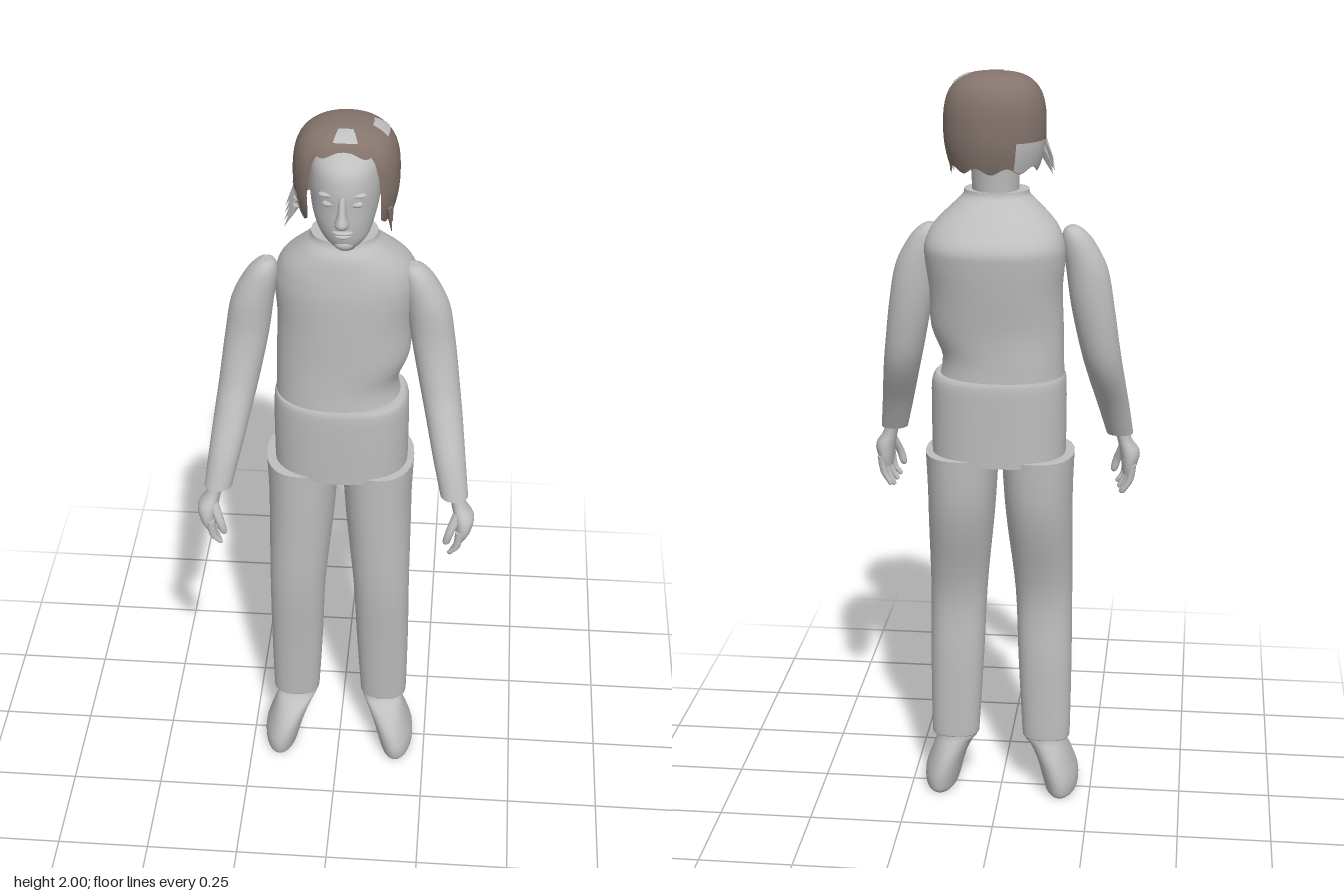
import * as THREE from 'three';

const grey = new THREE.MeshStandardMaterial({ color: 0xbfbfbf, side: THREE.DoubleSide });
grey.name = 'plain grey';
const brown = new THREE.MeshStandardMaterial({ color: 0x84746c, side: THREE.DoubleSide });
brown.name = 'hair brown';

function add(parent, name, geometry, material = grey) {
  const mesh = new THREE.Mesh(geometry, material);
  mesh.name = name;
  parent.add(mesh);
  return mesh;
}

// Closed skin through horizontal rings [y, cx, cz, rx, rz], lowest first;
// power 2 is an ellipse, larger is boxier.
function loft(rings, power = 2, seg = 32, sub = 4) {
  const smooth = [];
  const P = i => rings[Math.max(0, Math.min(rings.length - 1, i))];
  for (let i = 0; i < rings.length - 1; i++) {
    for (let s = 0; s < sub; s++) {
      const t = s / sub;
      smooth.push(P(i).map((b, k) => {
        const a = P(i - 1)[k], c = P(i + 1)[k], d = P(i + 2)[k];
        return b + 0.5 * t * (c - a + t * (2 * a - 5 * b + 4 * c - d + t * (3 * (b - c) + d - a)));
      }));
    }
  }
  smooth.push(P(rings.length - 1));
  const pos = [], idx = [];
  const ring = ([y, cx, cz, rx, rz]) => {
    for (let j = 0; j < seg; j++) {
      const a = j / seg * Math.PI * 2, c = Math.cos(a), s = Math.sin(a);
      pos.push(cx + rx * Math.sign(c) * Math.abs(c) ** (2 / power), y,
        cz + rz * Math.sign(s) * Math.abs(s) ** (2 / power));
    }
  };
  smooth.forEach(ring);
  for (let i = 0; i < smooth.length - 1; i++) {
    for (let j = 0; j < seg; j++) {
      const a = i * seg + j, b = i * seg + (j + 1) % seg, c = a + seg, d = b + seg;
      idx.push(a, c, b, b, c, d);
    }
  }
  // Flat end caps with their own vertices
  for (const top of [false, true]) {
    const r = top ? smooth[smooth.length - 1] : smooth[0];
    const base = pos.length / 3;
    ring(r);
    pos.push(r[1], r[0], r[2]);
    for (let j = 0; j < seg; j++) {
      const a = base + j, b = base + (j + 1) % seg;
      if (top) idx.push(base + seg, b, a); else idx.push(base + seg, a, b);
    }
  }
  return finish(pos, idx);
}

function finish(pos, idx) {
  const g = new THREE.BufferGeometry();
  g.setAttribute('position', new THREE.Float32BufferAttribute(pos, 3));
  g.setIndex(idx);
  g.computeVertexNormals();
  return g;
}

// Part of the hair cap between two angles, from low(angle) up to high
function hairShell(a0, a1, low, high, swell, nu, nv) {
  const pos = [], idx = [];
  for (let i = 0; i <= nv; i++) {
    for (let j = 0; j <= nu; j++) {
      const a = a0 + (a1 - a0) * j / nu, lo = low(a);
      const y = lo + (high - lo) * Math.sin(i / nv * Math.PI / 2);
      const u = (y - 1.86) / 0.14;
      const r = (u > 0 ? Math.cbrt(Math.max(0, 1 - u ** 3)) : 1 - 0.28 * u * u) * swell;
      const c = Math.cos(a), s = Math.sin(a), e = s > 0 ? 0.75 : 1;
      pos.push(0.015 + 0.13 * r * Math.sign(c) * Math.abs(c) ** e,
        y + (swell - 1) * 0.15, -0.025 + 0.115 * r * Math.sign(s) * Math.abs(s) ** e);
    }
  }
  for (let i = 0; i < nv; i++) {
    for (let j = 0; j < nu; j++) {
      const a = i * (nu + 1) + j, c = a + nu + 1;
      idx.push(a, c, a + 1, a + 1, c, c + 1);
    }
  }
  return finish(pos, idx);
}

function ellipsoid(parent, name, x, y, z, rx, ry, rz) {
  const m = add(parent, name, new THREE.SphereGeometry(1, 20, 14));
  m.position.set(x, y, z);
  m.scale.set(rx, ry, rz);
  return m;
}

function makeHead() {
  const head = new THREE.Group();
  head.name = 'head';
  add(head, 'skull', loft([
    [1.713, 0.02, 0.085, 0.022, 0.022], [1.74, 0.018, 0.06, 0.055, 0.06],
    [1.78, 0.015, 0.03, 0.075, 0.098], [1.83, 0.015, 0.013, 0.085, 0.116],
    [1.88, 0.015, 0.01, 0.087, 0.12], [1.93, 0.015, 0.003, 0.08, 0.11],
    [1.97, 0.015, -0.015, 0.05, 0.06], [1.985, 0.015, -0.02, 0.02, 0.025]]));
  add(head, 'nose', loft([
    [1.79, 0.015, 0.132, 0.012, 0.012], [1.805, 0.015, 0.137, 0.018, 0.027],
    [1.83, 0.015, 0.132, 0.011, 0.022], [1.87, 0.015, 0.122, 0.008, 0.011]], 2, 16));
  for (const s of [-1, 1]) {
    ellipsoid(head, 'eye', 0.015 + s * 0.033, 1.847, 0.115, 0.016, 0.008, 0.012);
    ellipsoid(head, 'brow', 0.015 + s * 0.034, 1.87, 0.112, 0.024, 0.006, 0.013);
  }
  ellipsoid(head, 'upperLip', 0.016, 1.773, 0.122, 0.026, 0.006, 0.014);
  ellipsoid(head, 'lowerLip', 0.016, 1.762, 0.118, 0.021, 0.006, 0.015);
  ellipsoid(head, 'chin', 0.018, 1.732, 0.1, 0.026, 0.018, 0.022);
  return head;
}

function makeHair() {
  const hair = new THREE.Group();
  hair.name = 'hair';
  const edge = a => 1.765 + 0.187 * THREE.MathUtils.smoothstep(Math.sin(a), 0.72, 0.9)
    + 0.008 * Math.sin(a * 9);
  add(hair, 'hairCap', hairShell(0, Math.PI * 2, edge, 2, 1, 96, 18), brown);
  // Bare areas where the grey shows through
  add(hair, 'sideBarePatch', hairShell(2.6, 4.2, edge, 1.835, 1.012, 20, 6));
  add(hair, 'crownBarePatch', hairShell(-0.3, 0.3, () => 1.972, 1.994, 1.012, 8, 5));
  add(hair, 'frontBarePatch', hairShell(1.35, 1.75, () => 1.976, 1.996, 1.012, 8, 5));
  // Loose strands on both sides
  for (let i = 0; i < 7; i++) {
    for (const s of [-1, 1]) {
      const strand = add(hair, 'strand', new THREE.ConeGeometry(0.009, 0.07, 5), s < 0 ? grey : brown);
      strand.position.set(s < 0 ? -0.118 : 0.126, 1.77 + 0.012 * (i % 4), 0.05 - i * 0.014);
      strand.rotation.z = Math.PI + (s < 0 ? -0.45 : 0.1);
    }
  }
  return hair;
}

function makeArm(s) {
  const arm = new THREE.Group();
  arm.name = s > 0 ? 'leftArm' : 'rightArm';
  const side = rings => rings.map(([y, x, ...rest]) => [y, x * s, ...rest]);
  add(arm, 'sleeve', loft(side([
    [1.01, 0.309, 0.138, 0.036, 0.034], [1.1, 0.292, 0.1, 0.042, 0.045],
    [1.2, 0.273, 0.045, 0.048, 0.055], [1.28, 0.258, 0.014, 0.052, 0.055],
    [1.4, 0.238, -0.008, 0.056, 0.052], [1.5, 0.222, -0.012, 0.054, 0.052],
    [1.57, 0.199, -0.014, 0.042, 0.045], [1.6, 0.188, -0.014, 0.027, 0.034],
    [1.612, 0.184, -0.014, 0.012, 0.016]])));
  const hand = new THREE.Group();
  hand.name = 'hand';
  arm.add(hand);
  add(hand, 'palm', loft(side([
    [0.895, 0.331, 0.153, 0.014, 0.036], [0.92, 0.336, 0.153, 0.022, 0.043],
    [0.955, 0.336, 0.15, 0.027, 0.04], [0.99, 0.322, 0.143, 0.02, 0.026],
    [1.03, 0.311, 0.138, 0.02, 0.022]]), 2, 20));
  for (let k = 0; k < 4; k++) {
    const z = 0.12 + 0.022 * k, x = 0.345 - 0.006 * k, tip = 0.835 + 0.008 * Math.abs(k - 1);
    add(hand, 'finger', loft(side([
      [tip, x - 0.024, z - 0.002, 0.004, 0.004], [tip + 0.008, x - 0.022, z, 0.008, 0.008],
      [0.88, x - 0.006, z + 0.001, 0.01, 0.01], [0.925, x, z, 0.011, 0.011]]), 2, 12, 3));
  }
  add(hand, 'thumb', loft(side([
    [0.882, 0.292, 0.183, 0.004, 0.004], [0.892, 0.294, 0.184, 0.01, 0.01],
    [0.925, 0.303, 0.182, 0.012, 0.012], [0.97, 0.322, 0.163, 0.014, 0.014]]), 2, 12, 3));
  return arm;
}

function makeLeg(s) {
  const leg = new THREE.Group();
  leg.name = s > 0 ? 'leftLeg' : 'rightLeg';
  const side = rings => rings.map(([y, x, ...rest]) => [y, x * s, ...rest]);
  add(leg, 'trouserLeg', loft(side([
    [0.175, 0.126, -0.014, 0.063, 0.05], [0.19, 0.126, -0.014, 0.066, 0.052],
    [0.4, 0.121, -0.005, 0.073, 0.064], [0.6, 0.116, 0.006, 0.077, 0.075],
    [0.8, 0.106, -0.019, 0.087, 0.108], [0.9, 0.102, -0.028, 0.091, 0.12],
    [1.01, 0.101, -0.031, 0.096, 0.126]]), 2.3));
  add(leg, 'shoe', loft(side([
    [0, 0.168, 0.015, 0.038, 0.092], [0.012, 0.168, 0.016, 0.046, 0.103],
    [0.05, 0.163, 0.016, 0.051, 0.107], [0.1, 0.148, 0.012, 0.05, 0.096],
    [0.14, 0.132, 0.003, 0.052, 0.072], [0.165, 0.12, -0.012, 0.055, 0.048],
    [0.21, 0.12, -0.014, 0.054, 0.044]])));
  return leg;
}

export function createModel() {
  const model = new THREE.Group();
  model.name = 'standingFigure';
  // Lower shirt with its hem, then the upper body tucked into it
  add(model, 'lowerShirt', loft([
    [0.995, 0.003, -0.029, 0.176, 0.127], [1.1, 0.003, -0.028, 0.177, 0.131],
    [1.2, 0.003, -0.028, 0.176, 0.134], [1.225, 0, -0.028, 0.168, 0.13]], 2.4, 48));
  add(model, 'upperShirt', loft([
    [1.2, -0.003, -0.03, 0.166, 0.126], [1.27, -0.008, -0.032, 0.158, 0.124],
    [1.35, 0.007, -0.034, 0.172, 0.126], [1.45, 0.01, -0.041, 0.172, 0.135],
    [1.53, 0.012, -0.046, 0.18, 0.141], [1.575, 0.013, -0.047, 0.178, 0.14],
    [1.62, 0.012, -0.033, 0.157, 0.12], [1.665, 0.011, -0.016, 0.112, 0.094],
    [1.69, 0.011, -0.012, 0.087, 0.074], [1.705, 0.011, -0.012, 0.083, 0.07]], 2.2, 48));
  add(model, 'neck', loft([
    [1.64, 0.012, -0.002, 0.058, 0.08], [1.7, 0.013, -0.015, 0.06, 0.065],
    [1.8, 0.015, -0.025, 0.062, 0.066]]));
  model.add(makeHead(), makeHair());
  for (const s of [-1, 1]) model.add(makeArm(s), makeLeg(s));
  return model;
}
